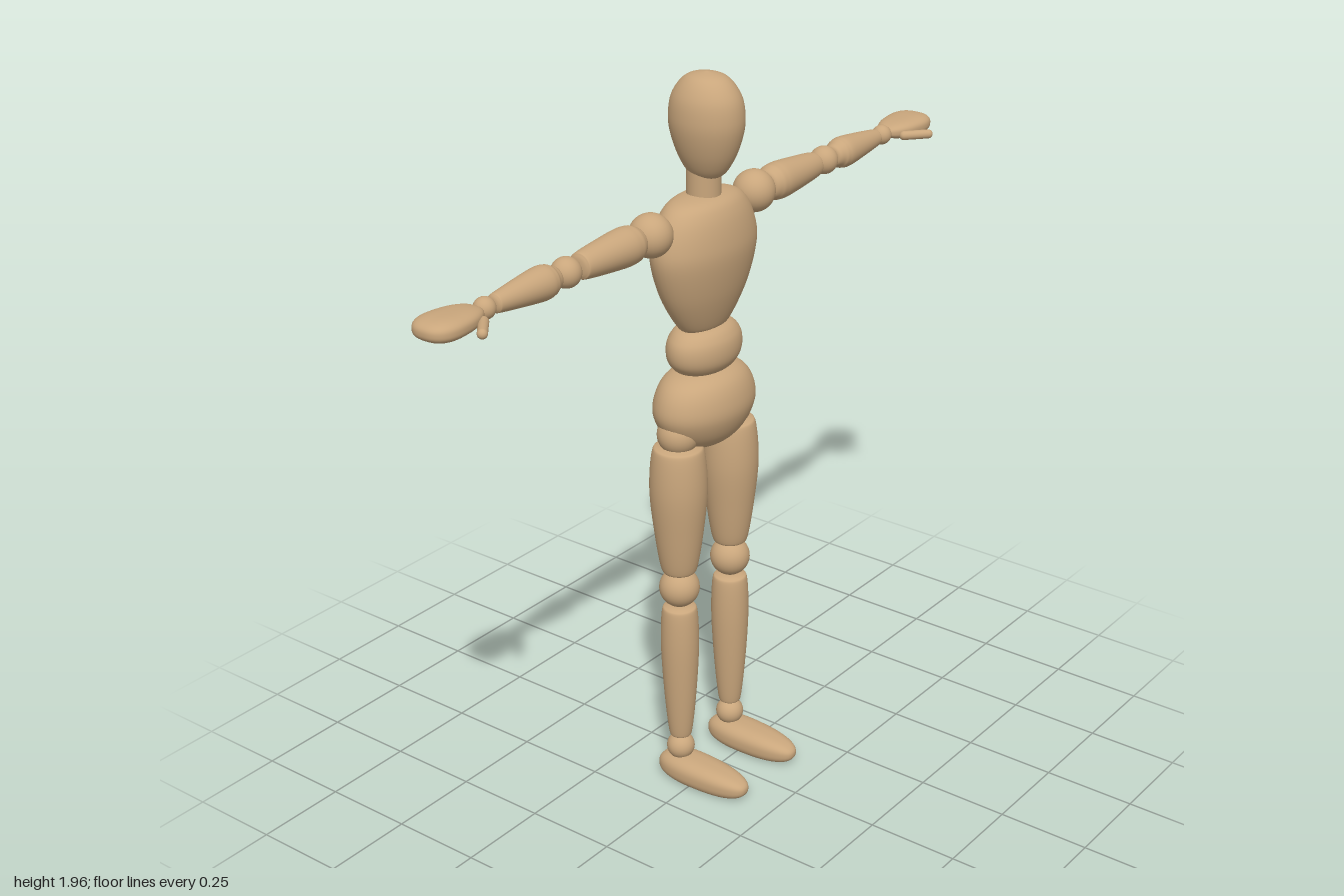
import * as THREE from 'three';
import { mergeVertices } from 'three/addons/utils/BufferGeometryUtils.js';

const wood = new THREE.MeshStandardMaterial({ color: 0xc9a67c });
wood.name = 'wood';

const BODY_Z = -0.057;
const ARM_Y = 1.597;
const LEG_X = 0.111;

function addPart(parent, name, geometry, x, y, z) {
  const mesh = new THREE.Mesh(geometry, wood);
  mesh.name = name;
  mesh.position.set(x, y, z);
  parent.add(mesh);
  return mesh;
}

function addBall(parent, name, radius, x, y, z = BODY_Z) {
  return addPart(parent, name, new THREE.SphereGeometry(radius, 32, 20), x, y, z);
}

// Smooth turned piece; profile is [radius, height] from bottom to top.
function turned(profile) {
  const curve = new THREE.SplineCurve(profile.map(([r, y]) => new THREE.Vector2(r, y)));
  const points = curve.getPoints(48);
  points.forEach((p) => { p.x = Math.max(p.x, 0); });
  return new THREE.LatheGeometry(points, 40);
}

// Limb with softly rounded ends: height h, radii at bottom, belly and top.
function limb(h, bottom, belly, top, bellyAt) {
  return turned([
    [0, 0], [bottom * 0.72, 0.004], [bottom, 0.022],
    [(bottom + belly) / 2 + 0.002, h * bellyAt * 0.5], [belly, h * bellyAt],
    [top, h - 0.026], [top * 0.76, h - 0.005], [0, h],
  ]);
}

// Soft block with squarer sides than an ellipsoid, reshaped by a rule.
function softBlock(power, reshape) {
  let geometry = new THREE.SphereGeometry(1, 48, 32);
  geometry.deleteAttribute('uv');
  geometry.deleteAttribute('normal');
  geometry = mergeVertices(geometry, 1e-5);
  const pos = geometry.attributes.position;
  const v = new THREE.Vector3();
  for (let i = 0; i < pos.count; i++) {
    v.fromBufferAttribute(pos, i);
    const sum = Math.abs(v.x) ** power + Math.abs(v.y) ** power + Math.abs(v.z) ** power;
    v.multiplyScalar(sum ** (-1 / power));
    reshape(v);
    pos.setXYZ(i, v.x, v.y, v.z);
  }
  geometry.computeVertexNormals();
  return geometry;
}

function buildTorso(group) {
  const head = addPart(group, 'head', turned([
    [0, 1.69], [0.036, 1.7], [0.062, 1.742], [0.08, 1.8], [0.085, 1.85],
    [0.076, 1.903], [0.046, 1.946], [0, 1.96],
  ]), 0, 0, -0.047);
  head.scale.z = 1.18;

  addPart(group, 'neck', new THREE.CylinderGeometry(0.044, 0.044, 0.14, 32), 0, 1.67, BODY_Z);

  const chest = addPart(group, 'chest', turned([
    [0, 1.29], [0.065, 1.295], [0.098, 1.32], [0.147, 1.4], [0.177, 1.49],
    [0.174, 1.55], [0.147, 1.61], [0.1, 1.643], [0, 1.655],
  ]), 0, 0, BODY_Z);
  chest.scale.z = 0.56;

  const waist = addPart(group, 'waist', turned([
    [0, 1.178], [0.075, 1.182], [0.11, 1.207], [0.12, 1.242],
    [0.11, 1.277], [0.075, 1.302], [0, 1.306],
  ]), 0, 0, BODY_Z);
  waist.scale.z = 0.69;

  const pelvis = addPart(group, 'pelvis', turned([
    [0, 0.967], [0.07, 0.978], [0.128, 1.013], [0.163, 1.07], [0.159, 1.12],
    [0.131, 1.162], [0.08, 1.184], [0, 1.188],
  ]), 0, 0, BODY_Z);
  pelvis.scale.z = 0.67;
}

function buildLeg(side) {
  const leg = new THREE.Group();
  leg.name = side > 0 ? 'leftLeg' : 'rightLeg';
  const x = side * LEG_X;
  addBall(leg, 'hip', 0.055, x, 1.03);
  addPart(leg, 'thigh', limb(0.375, 0.049, 0.076, 0.069, 0.65), x, 0.628, BODY_Z);
  addBall(leg, 'knee', 0.054, x, 0.585);
  addPart(leg, 'shin', limb(0.41, 0.032, 0.051, 0.048, 0.68), x, 0.125, BODY_Z);
  addBall(leg, 'ankle', 0.038, x, 0.093);

  // Flat sole, narrower and lower toward the toe.
  const foot = softBlock(2.6, (v) => {
    const toe = (v.z + 1) / 2;
    v.x *= 0.057 * (1 - 0.22 * toe * toe);
    v.y = v.y > 0 ? v.y * (0.047 - 0.014 * toe) : Math.max(v.y, -0.8) * 0.0388;
    v.z *= 0.1425;
  });
  addPart(leg, 'foot', foot, x, 0.031, 0.0225);
  return leg;
}

function buildArm(side) {
  const arm = new THREE.Group();
  arm.name = side > 0 ? 'leftArm' : 'rightArm';
  addBall(arm, 'shoulder', 0.056, side * 0.211, ARM_Y);

  const upper = addPart(arm, 'upperArm', limb(0.225, 0.044, 0.048, 0.036, 0.35), side * 0.258, ARM_Y, BODY_Z);
  upper.rotation.z = -side * Math.PI / 2;
  addBall(arm, 'elbow', 0.038, side * 0.524, ARM_Y);

  const fore = addPart(arm, 'forearm', limb(0.218, 0.034, 0.041, 0.026, 0.32), side * 0.558, ARM_Y, BODY_Z);
  fore.rotation.z = -side * Math.PI / 2;
  addBall(arm, 'wrist', 0.027, side * 0.802, ARM_Y);

  // Mitten hand, slimmer at the wrist.
  const hand = softBlock(2.7, (v) => {
    const wristward = (1 - side * v.x) / 2;
    v.z *= 0.063 * (1 - 0.35 * wristward * wristward);
    v.y *= 0.03 * (1 - 0.25 * wristward);
    v.x *= 0.091;
  });
  addPart(arm, 'hand', hand, side * 0.909, ARM_Y, -0.06);

  const thumb = addPart(arm, 'thumb', new THREE.CapsuleGeometry(0.0125, 0.07, 8, 20), side * 0.877, 1.59, 0.007);
  thumb.rotation.set(Math.PI / 2, 0, -side * 0.87);
  return arm;
}

export function createModel() {
  const group = new THREE.Group();
  group.name = 'jointedFigure';
  buildTorso(group);
  for (const side of [1, -1]) {
    group.add(buildLeg(side), buildArm(side));
  }
  return group;
}
